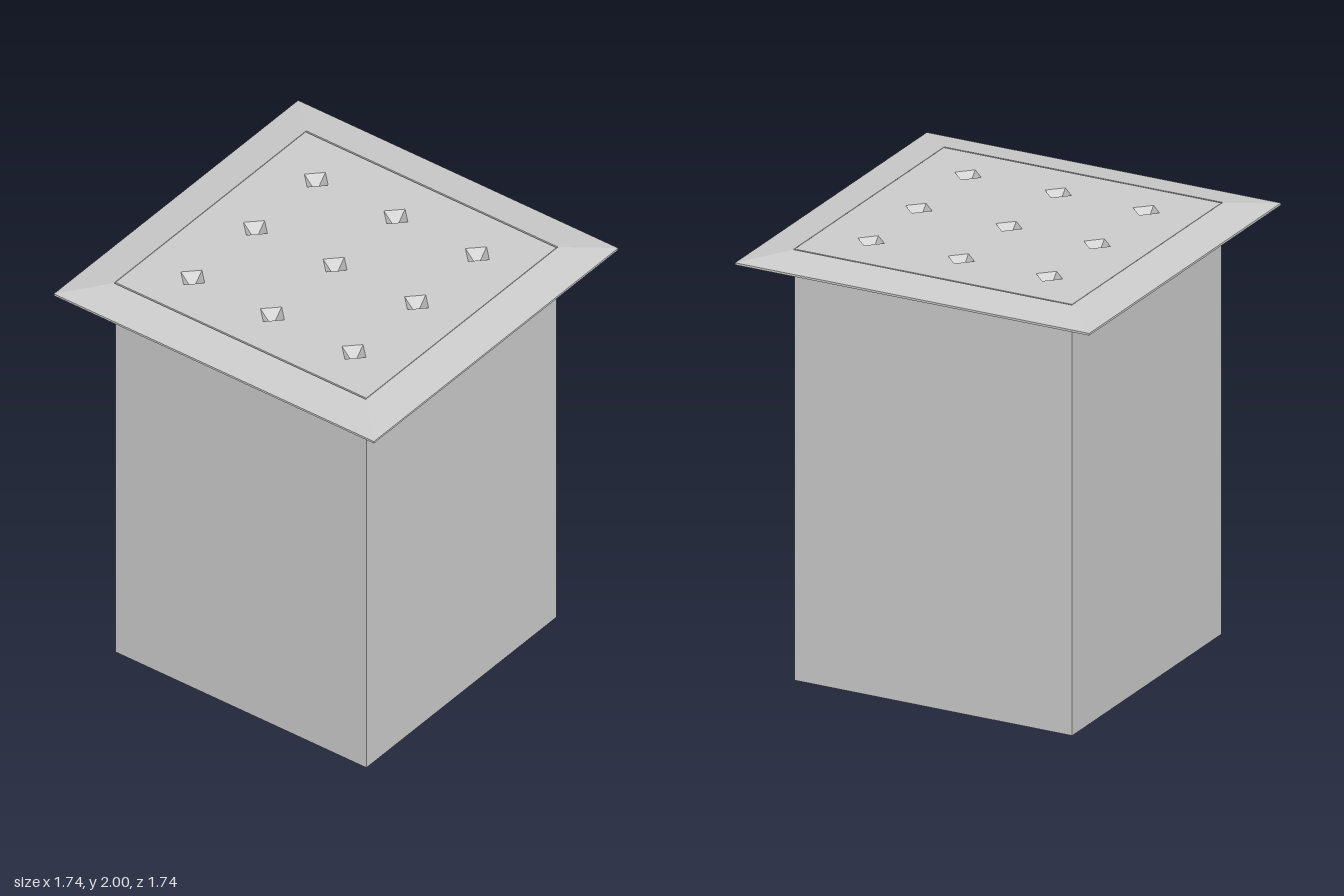
import * as THREE from 'three';

const HALF_X = 0.675, HALF_Z = 0.68, TOP = 2;
const PIT_RADIUS = 0.065, PIT_DEPTH = 0.07;

export function createModel() {
  const model = new THREE.Group();
  const material = new THREE.MeshStandardMaterial({
    color: 0xcccccc, flatShading: true, side: THREE.DoubleSide,
  });
  const add = (name, geometry, x = 0, y = 0, z = 0) => {
    const mesh = new THREE.Mesh(geometry, material);
    mesh.name = name;
    mesh.position.set(x, y, z);
    model.add(mesh);
  };

  // Tall body: a box without its top face, which the pitted panel replaces
  const body = new THREE.BoxGeometry(HALF_X * 2, TOP, HALF_Z * 2);
  const faces = Array.from(body.index.array);
  faces.splice(12, 6);
  body.setIndex(faces);
  body.clearGroups();
  add('body', body, 0, TOP / 2, 0);

  // Top panel with a 3 x 3 grid of diamond openings, each an inverted pyramid
  const panel = new THREE.Shape([
    new THREE.Vector2(-HALF_X, -HALF_Z), new THREE.Vector2(HALF_X, -HALF_Z),
    new THREE.Vector2(HALF_X, HALF_Z), new THREE.Vector2(-HALF_X, HALF_Z),
  ]);
  for (const x of [-0.445, 0, 0.432]) {
    for (const z of [-0.437, -0.005, 0.437]) {
      const corners = [[1, 0], [0, -1], [-1, 0], [0, 1]].map(
        ([u, v]) => new THREE.Vector2(x + u * PIT_RADIUS, -z + v * PIT_RADIUS));
      panel.holes.push(new THREE.Path(corners));
      const pit = new THREE.ConeGeometry(PIT_RADIUS, PIT_DEPTH, 4, 1, true);
      pit.rotateX(Math.PI);
      add('diamondPit', pit, x, TOP - PIT_DEPTH / 2, z);
    }
  }
  add('topPanel', new THREE.ShapeGeometry(panel).rotateX(-Math.PI / 2), 0, TOP, 0);

  // Overhanging square rim: thin lip, sloped top, narrow groove beside the panel
  const profile = [
    [0.67, 1.958], [0.868, 1.958], [0.868, 1.968],
    [0.683, 2], [0.683, 1.962], [0.67, 1.962],
  ].map(([r, y]) => new THREE.Vector2(r * Math.SQRT2, y));
  add('rim', new THREE.LatheGeometry(profile, 4).rotateY(Math.PI / 4));

  return model;
}
